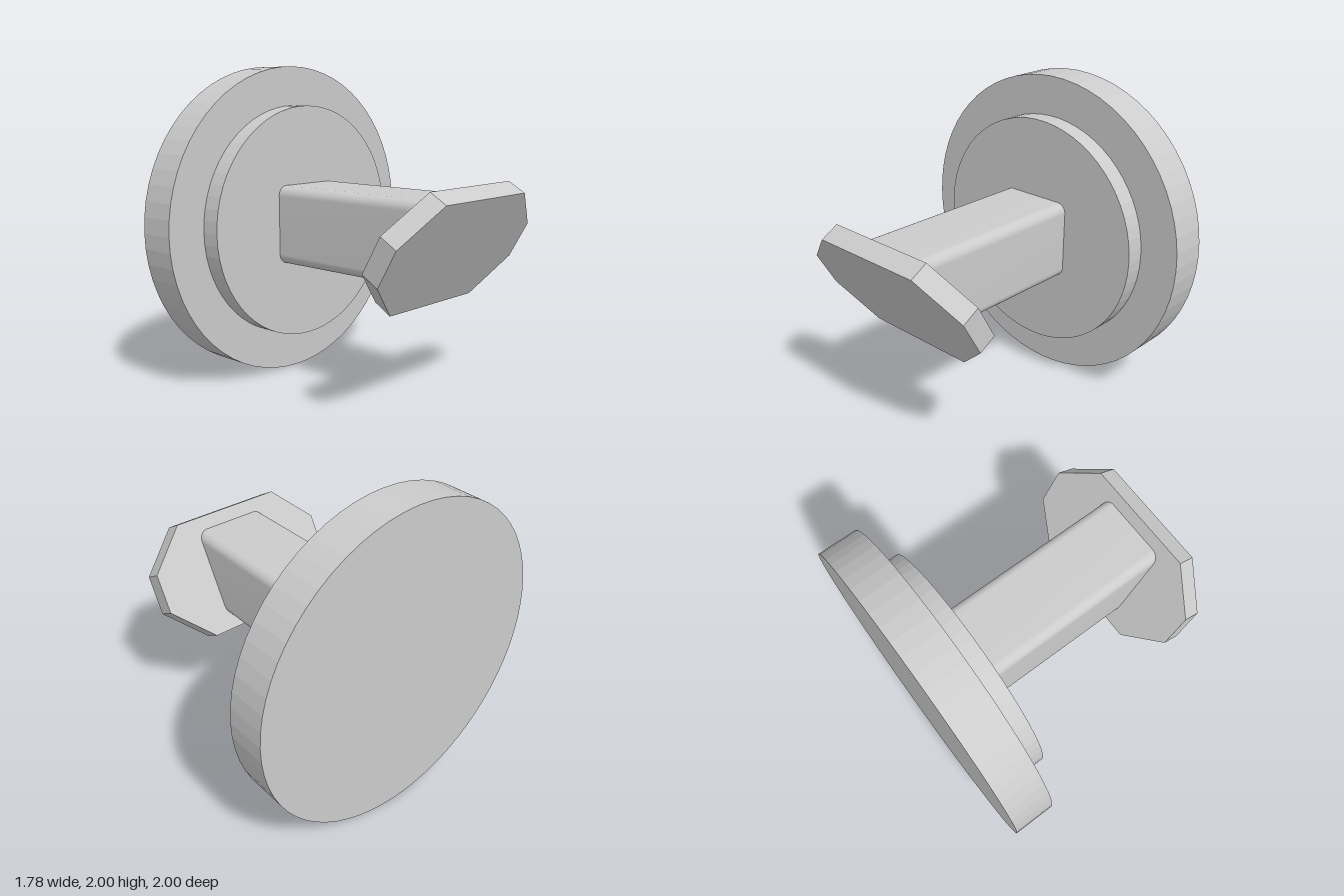
import * as THREE from 'three';
import { toCreasedNormals } from 'three/addons/utils/BufferGeometryUtils.js';

const smooth = new THREE.MeshStandardMaterial({ color: 0xcccccc });
const faceted = new THREE.MeshStandardMaterial({ color: 0xcccccc, flatShading: true });

const BACK = -0.8885;      // rear face of the base
const PLATE_X = 0.5925;    // centre of the plate's inner face
const TILT = Math.PI / 6;  // lean of the plate

export function createModel() {
  const group = new THREE.Group();
  const add = (name, geometry, material) => {
    const mesh = new THREE.Mesh(geometry, material);
    mesh.name = name;
    group.add(mesh);
    return mesh;
  };

  // Two stacked discs, lying along x
  const disc = (name, radius, x0, width) => {
    const g = new THREE.CylinderGeometry(radius, radius, width, 64).rotateZ(-Math.PI / 2);
    add(name, g, faceted).position.set(x0 + width / 2, 1, 0);
  };
  disc('baseDisc', 1, BACK, 0.25);
  disc('raisedDisc', 0.75, BACK + 0.25, 0.125);

  // Square bar with rounded long edges, its far end cut to meet the tilted plate
  const h = 0.25, r = 0.0625, start = BACK + 0.375;
  const section = new THREE.Shape();
  section.absarc(h - r, h - r, r, 0, Math.PI / 2);
  section.absarc(r - h, h - r, r, Math.PI / 2, Math.PI);
  section.absarc(r - h, r - h, r, Math.PI, Math.PI * 1.5);
  section.absarc(h - r, r - h, r, Math.PI * 1.5, Math.PI * 2);
  section.closePath();
  const bar = new THREE.ExtrudeGeometry(section, { depth: 1, bevelEnabled: false, curveSegments: 10 });
  bar.rotateY(Math.PI / 2);
  const p = bar.attributes.position;
  for (let i = 0; i < p.count; i++) {
    const end = PLATE_X + p.getY(i) * Math.tan(TILT);
    p.setX(i, p.getX(i) > 0.5 ? end : start);
  }
  add('bar', toCreasedNormals(bar, 0.5), smooth).position.y = 1;

  // Eight-sided tilted plate
  const outline = new THREE.Shape([
    [0.625, -0.125], [0.625, 0.125], [0.375, 0.375], [-0.375, 0.375],
    [-0.625, 0.125], [-0.625, -0.125], [-0.375, -0.375], [0.375, -0.375],
  ].map(([x, y]) => new THREE.Vector2(x, y)));
  const plate = new THREE.ExtrudeGeometry(outline, { depth: 0.125, bevelEnabled: false });
  plate.rotateY(Math.PI / 2).rotateZ(-TILT);
  add('endPlate', plate, faceted).position.set(PLATE_X, 1, 0);

  return group;
}
